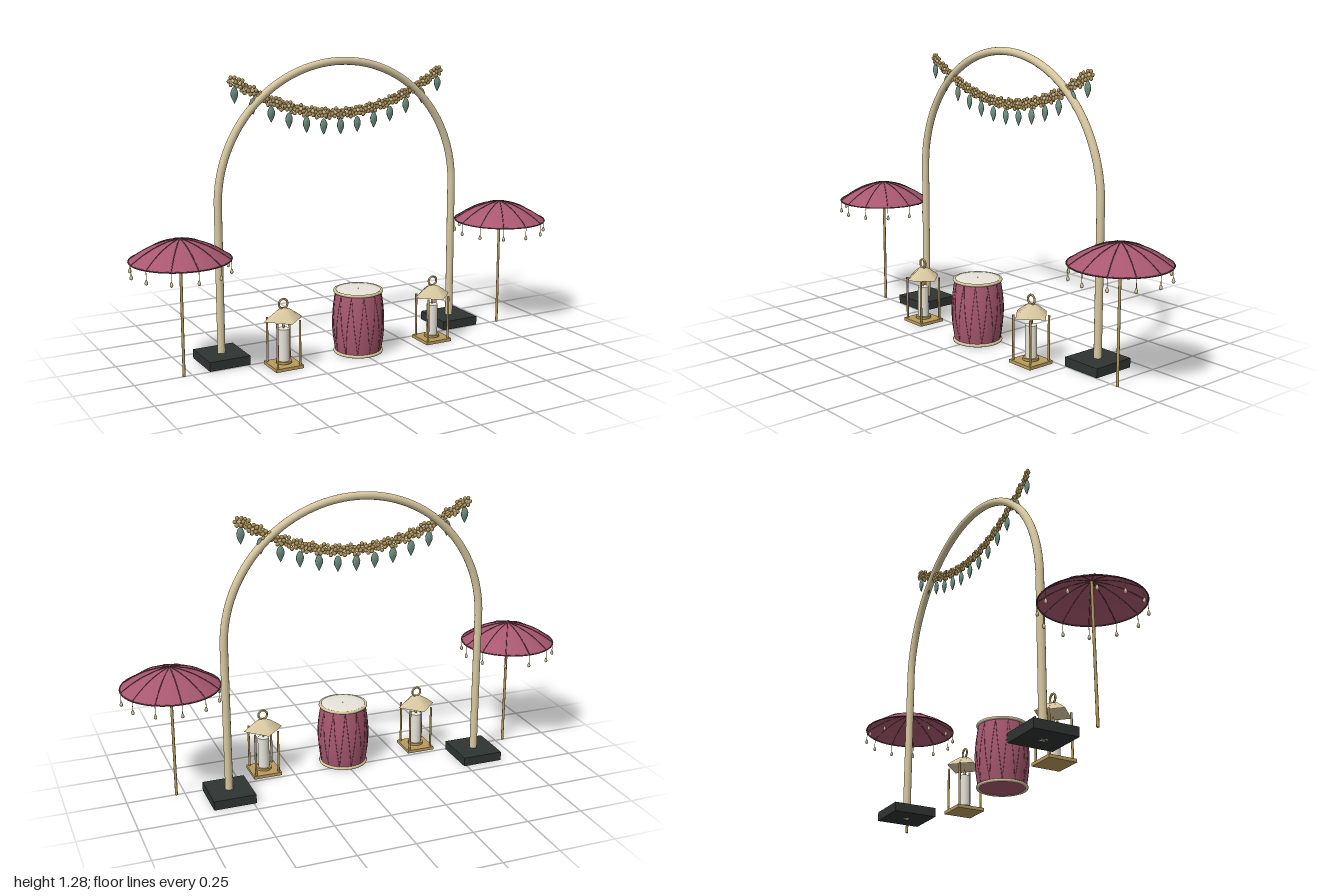
import * as THREE from 'three';

const mat = (color, side = THREE.FrontSide) => new THREE.MeshStandardMaterial({ color, side });
const cream = mat(0xd8c8a0), gold = mat(0xb89a5c), dark = mat(0x2f3433), wax = mat(0xe8e4da);
const rose = mat(0xa85870, THREE.DoubleSide), creamThin = mat(0xd8c8a0, THREE.DoubleSide);
const green = mat(0x6f9080), seam = mat(0x6b4048);
const V = (x, y, z) => new THREE.Vector3(x, y, z);

function add(parent, name, geometry, material, x = 0, y = 0, z = 0) {
  const mesh = new THREE.Mesh(geometry, material);
  mesh.name = name;
  mesh.position.set(x, y, z);
  parent.add(mesh);
  return mesh;
}
function group(parent, name, x = 0, y = 0, z = 0) {
  const g = new THREE.Group();
  g.name = name;
  g.position.set(x, y, z);
  parent.add(g);
  return g;
}
const tube = (points, r, steps = 12, sides = 6) =>
  new THREE.TubeGeometry(new THREE.CatmullRomCurve3(points), steps, r, sides);
const lathe = (profile, segments) =>
  new THREE.LatheGeometry(profile.map(([r, y]) => new THREE.Vector2(r, y)), segments);
const rod = (r, h, sides = 12) => new THREE.CylinderGeometry(r, r, h, sides);

// Round arch on two weighted feet
function arch(parent) {
  const g = group(parent, 'arch', 0, 0, -0.1);
  const R = 0.58, springY = 0.68, r = 0.017;
  add(g, 'archHoop', new THREE.TorusGeometry(R, r, 14, 64, Math.PI), cream, 0, springY, 0);
  for (const s of [-1, 1]) {
    add(g, 'archPost', rod(r, springY, 14), cream, s * R, springY / 2, 0);
    add(g, 'archFoot', new THREE.BoxGeometry(0.184, 0.04, 0.196), dark, s * R, 0.02, 0);
  }
}

// Sagging garland of small flowers with hanging leaves
function garland(parent) {
  const g = group(parent, 'garland', 0, 0, -0.1);
  const sag = x => 1.035 + 0.165 * (x / 0.5) ** 2;
  const path = [];
  for (let i = 0; i <= 10; i++) path.push(V(-0.5 + i * 0.1, sag(-0.5 + i * 0.1), 0));
  add(g, 'garlandCord', tube(path, 0.006, 40), gold);

  const petal = new THREE.SphereGeometry(0.009, 8, 6).scale(1, 1, 0.7);
  const heart = new THREE.SphereGeometry(0.008, 8, 6);
  const count = 37;
  for (let i = 0; i < count; i++) {
    const x = -0.5 + i / (count - 1);
    const f = group(g, 'flower', x, sag(x) + (i % 2 ? 0.004 : -0.004), i % 2 ? 0.004 : -0.004);
    f.rotation.z = i * 0.7;
    for (let k = 0; k < 6; k++) {
      const a = k * Math.PI / 3;
      add(f, 'petal', petal, gold, 0.017 * Math.cos(a), 0.017 * Math.sin(a), 0);
    }
    add(f, 'flowerHeart', heart, cream, 0, 0, 0.003);
  }

  const leaf = lathe([[0, -0.072], [0.007, -0.06], [0.016, -0.04], [0.017, -0.025], [0.01, -0.008], [0, 0]], 10)
    .scale(1, 1, 0.5);
  for (let i = -6; i <= 6; i++) {
    const x = i * 0.0825;
    add(g, 'leaf', leaf, green, x, sag(x) - 0.022, 0);
  }
}

// Parasol with ribs and a fringe of drops
function parasol(parent, x) {
  const g = group(parent, 'parasol', x, 0, 0);
  const profile = [[0.208, 0.5], [0.16, 0.532], [0.11, 0.558], [0.055, 0.577], [0.001, 0.588]];
  add(g, 'pole', rod(0.006, 0.588, 10), gold, 0, 0.294, 0);
  add(g, 'canopy', lathe(profile, 24), rose);
  add(g, 'canopyRim', new THREE.TorusGeometry(0.208, 0.003, 6, 48).rotateX(Math.PI / 2), seam, 0, 0.5, 0);
  const rib = tube(profile.map(([r, y]) => V(r, y, 0)), 0.002, 10, 5);
  const drop = lathe([[0, -0.012], [0.006, -0.008], [0.007, -0.002], [0.004, 0.007], [0, 0.014]], 8);
  for (let k = 0; k < 12; k++) {
    const spoke = group(g, 'spoke');
    spoke.rotation.y = k * Math.PI / 6;
    add(spoke, 'rib', rib, seam);
    add(spoke, 'fringeCord', rod(0.0012, 0.045, 5), gold, 0.207, 0.478, 0);
    add(spoke, 'fringeDrop', drop, cream, 0.207, 0.452, 0);
  }
}

// Candle lantern with a four-sided roof
function lantern(parent, x) {
  const g = group(parent, 'lantern', x, 0, 0.08);
  add(g, 'lanternBase', new THREE.BoxGeometry(0.128, 0.014, 0.128), gold, 0, 0.007, 0);
  for (const sx of [-1, 1]) for (const sz of [-1, 1])
    add(g, 'lanternPost', rod(0.005, 0.2, 8), gold, sx * 0.052, 0.108, sz * 0.052);
  add(g, 'candleDish', rod(0.034, 0.01, 20), gold, 0, 0.022, 0);
  add(g, 'candle', rod(0.025, 0.14, 24), wax, 0, 0.097, 0);
  add(g, 'flame', lathe([[0, 0], [0.006, 0.007], [0.006, 0.015], [0, 0.036]], 8), gold, 0, 0.167, 0);
  add(g, 'lanternRoof', lathe([[0.088, 0.207], [0.06, 0.229], [0.03, 0.249], [0.001, 0.258]], 4), creamThin);
  add(g, 'lanternRing', new THREE.TorusGeometry(0.02, 0.0045, 8, 24), gold, 0, 0.275, 0);
}

// Barrel drum with zigzag lacing
function drum(parent) {
  const g = group(parent, 'drum', 0, 0, 0.06);
  const H = 0.28;
  const radius = t => 0.1 + 0.014 * Math.sin(Math.PI * t);
  const profile = [[0.001, 0.004]];
  for (let i = 0; i <= 12; i++) profile.push([radius(i / 12), 0.004 + (H - 0.004) * i / 12]);
  add(g, 'drumBottom', new THREE.CircleGeometry(0.1, 40).rotateX(Math.PI / 2), rose, 0, 0.004, 0);
  add(g, 'drumBody', lathe(profile.slice(1), 40), rose);
  add(g, 'drumHead', lathe([[0.103, 0.276], [0.1, 0.283], [0.06, 0.285], [0.001, 0.286]], 40), wax);
  for (const y of [0.007, 0.278])
    add(g, 'drumHoop', new THREE.TorusGeometry(0.102, 0.007, 8, 48).rotateX(Math.PI / 2), cream, 0, y, 0);
  for (let k = 0; k < 24; k++) {
    const points = [];
    for (let i = 0; i <= 8; i++) {
      const t = i / 8, a = (k + (k % 2 ? 1 - t : t)) * Math.PI / 12;
      points.push(V(radius(t) * Math.cos(a), 0.008 + 0.268 * t, radius(t) * Math.sin(a)));
    }
    add(g, 'lacing', tube(points, 0.0012, 16, 5), seam);
  }
}

export function createModel() {
  const model = new THREE.Group();
  model.name = 'festiveArch';
  arch(model);
  garland(model);
  drum(model);
  for (const s of [-1, 1]) {
    parasol(model, s * 0.787);
    lantern(model, s * 0.37);
  }
  return model;
}
